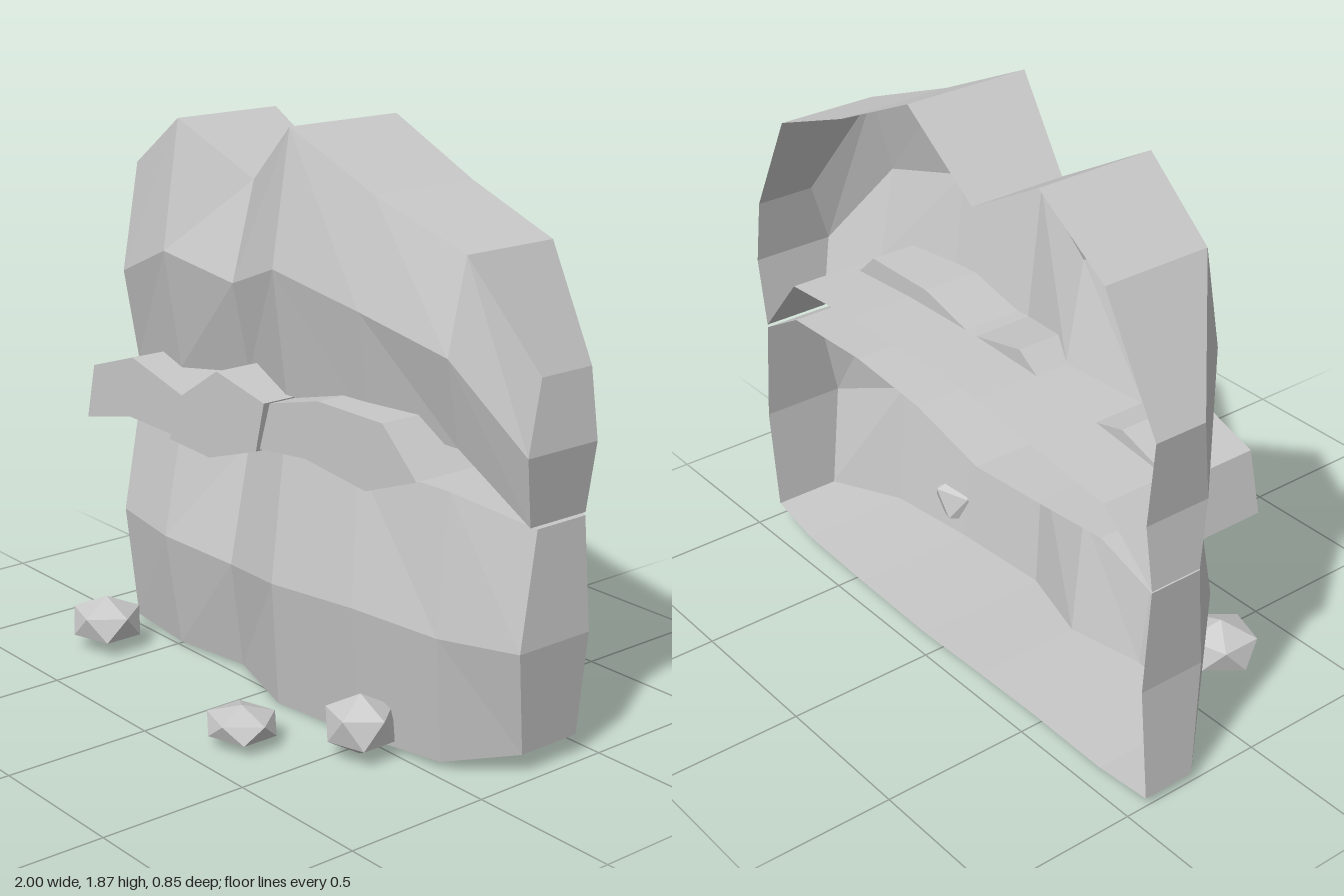
import * as THREE from 'three';

const BACK = -0.43;

// Faceted front made of three rows of points (bottom to top), with its rim carried straight back; the rear is open.
function rockShell(rows) {
  const pos = [], index = [];
  const n = rows[0].length;
  rows.forEach(row => row.forEach(p => pos.push(...p)));
  rows.forEach(row => row.forEach(p => pos.push(p[0], p[1], BACK)));
  const id = (r, c) => r * n + c;
  for (let r = 0; r < rows.length - 1; r++) {
    for (let c = 0; c < n - 1; c++) {
      const a = id(r, c), b = id(r, c + 1), d = id(r + 1, c), e = id(r + 1, c + 1);
      if (c < n / 2) index.push(a, b, e, a, e, d);
      else index.push(a, b, d, b, e, d);
    }
  }
  // rim, counter-clockwise seen from the front
  const rim = [], top = rows.length - 1;
  for (let c = 0; c < n; c++) rim.push(id(0, c));
  for (let r = 1; r < top; r++) rim.push(id(r, n - 1));
  for (let c = n - 1; c >= 0; c--) rim.push(id(top, c));
  for (let r = top - 1; r > 0; r--) rim.push(id(r, 0));
  const off = rows.length * n;
  rim.forEach((a, i) => {
    const b = rim[(i + 1) % rim.length];
    index.push(a, a + off, b + off, a, b + off, b);
  });
  const g = new THREE.BufferGeometry();
  g.setAttribute('position', new THREE.Float32BufferAttribute(pos, 3));
  g.setIndex(index);
  const flat = g.toNonIndexed();
  flat.computeVertexNormals();
  return flat;
}

// Outline slab running from behind the wall to a little in front of it
function slab(points, front, back) {
  const shape = new THREE.Shape(points.map(p => new THREE.Vector2(...p)));
  const g = new THREE.ExtrudeGeometry(shape, { depth: front - back, bevelEnabled: false });
  return g.translate(0, 0, back);
}

export function createModel() {
  const group = new THREE.Group();
  const stone = new THREE.MeshStandardMaterial({ color: 0xc8c8c8, flatShading: true, side: THREE.DoubleSide });
  stone.name = 'stone grey';
  const add = (name, geometry) => {
    const mesh = new THREE.Mesh(geometry, stone);
    mesh.name = name;
    group.add(mesh);
    return mesh;
  };

  // Lower and upper cliff blocks
  add('lowerCliff', rockShell([
    [[-1, 0.03, -0.25], [-0.79, 0.01, -0.04], [-0.48, 0.015, 0], [-0.2, 0.01, -0.05],
      [0.1, 0, 0.04], [0.46, 0.01, 0.01], [0.78, 0.025, -0.04], [0.965, 0.07, -0.2]],
    [[-0.97, 0.4, -0.2], [-0.76, 0.43, 0.03], [-0.47, 0.42, 0.07], [-0.16, 0.4, 0.03],
      [0.14, 0.44, 0.1], [0.49, 0.46, 0.07], [0.81, 0.45, 0.015], [1, 0.42, -0.14]],
    [[-1, 0.765, -0.25], [-0.78, 0.835, -0.06], [-0.49, 0.81, -0.02], [-0.2, 0.79, -0.08],
      [0.1, 0.865, 0.02], [0.42, 0.895, -0.01], [0.78, 0.885, -0.05], [0.965, 0.78, -0.23]],
  ]));
  add('upperCliff', rockShell([
    [[-1, 0.77, -0.25], [-0.79, 0.955, -0.06], [-0.49, 0.99, -0.02], [-0.2, 1.025, -0.08],
      [0.1, 1.035, 0.01], [0.45, 1.03, -0.02], [0.78, 1.01, -0.08], [0.965, 0.79, -0.2]],
    [[-0.97, 0.97, -0.2], [-0.75, 1.28, 0.025], [-0.47, 1.4, 0.06], [-0.17, 1.34, 0.01],
      [0.13, 1.45, 0.09], [0.48, 1.38, 0.05], [0.81, 1.3, 0], [1, 1.02, -0.145]],
    [[-1, 1.25, -0.25], [-0.78, 1.635, -0.06], [-0.5, 1.82, -0.025], [-0.2, 1.655, -0.1],
      [0.1, 1.87, 0], [0.45, 1.71, -0.035], [0.79, 1.585, -0.085], [0.965, 1.24, -0.225]],
  ]));

  // Ledge slabs wedged in the gap
  add('ledgeLeftOfView', slab([[-0.875, 0.75], [-0.62, 0.81], [-0.37, 0.805], [-0.32, 0.95],
    [-0.6, 1.02], [-0.83, 0.945]], 0.1, -0.2));
  add('ledgeMiddle', slab([[-0.375, 0.795], [-0.16, 0.785], [0.08, 0.865], [0.12, 1.03],
    [-0.12, 1.08], [-0.32, 0.95]], 0.115, -0.2));
  add('ledgeRightOfView', slab([[0.08, 0.87], [0.3, 0.895], [0.58, 0.865], [0.8, 0.95],
    [0.65, 1.09], [0.36, 1.09], [0.13, 1.03]], 0.1, -0.2));

  // Loose rocks at the foot, each resting on a point
  const rocks = [
    [-0.64, 0.095, 0.2, 0.14, 0.088],
    [0.26, 0.068, 0.315, 0.132, 0.061],
    [0.553, 0.106, 0.085, 0.128, 0.1],
  ];
  rocks.forEach(([x, y, z, r, h], i) => {
    const g = new THREE.IcosahedronGeometry(1, 0).rotateZ(-0.5536);
    add('looseRock' + (i + 1), g.scale(r * 0.98, h, r * 0.92).translate(x, y, z));
  });

  return group;
}
